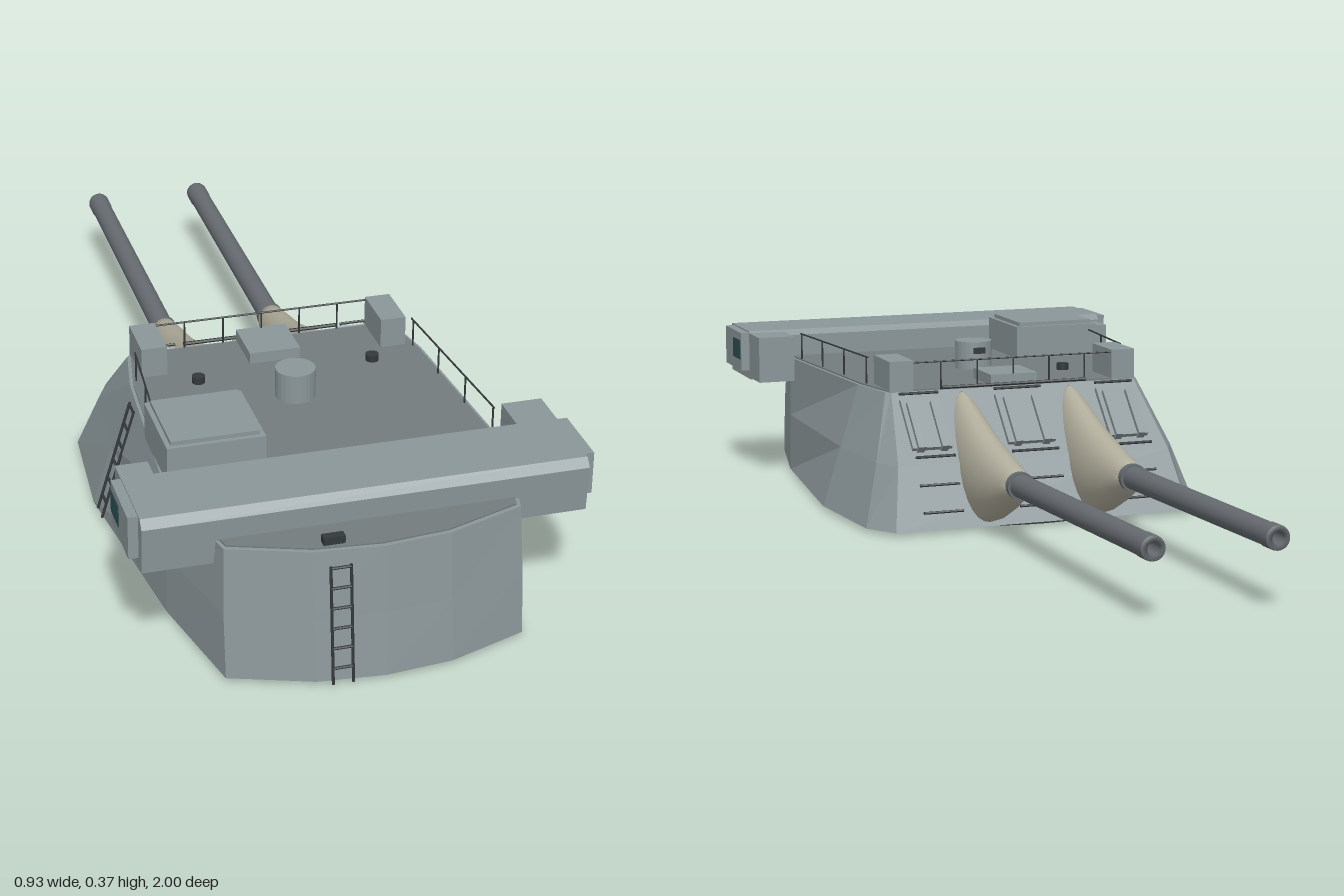
import * as THREE from 'three';

const paint = (color, flat = true, side = THREE.FrontSide) =>
  new THREE.MeshStandardMaterial({ color, flatShading: flat, side });

// Closed skin through equal-length rings, capped at both ends
function loft(rings) {
  const n = rings[0].length, pos = rings.flat(2), idx = [];
  for (let i = 0; i < rings.length - 1; i++)
    for (let j = 0; j < n; j++) {
      const a = i * n + j, b = i * n + (j + 1) % n;
      idx.push(a, b, b + n, a, b + n, a + n);
    }
  const last = (rings.length - 1) * n;
  for (let j = 1; j < n - 1; j++) idx.push(0, j + 1, j, last, last + j, last + j + 1);
  const g = new THREE.BufferGeometry();
  g.setAttribute('position', new THREE.Float32BufferAttribute(pos, 3));
  g.setIndex(idx);
  g.computeVertexNormals();
  return g;
}

// Mirrors a half outline of [x, z] into a full ring at height y
function outline(half, y) {
  const other = half.slice(1).reverse().map(([x, z]) => [-x, z]);
  return [...half, ...other].map(([x, z]) => [x, y, z]);
}

export function createModel() {
  const model = new THREE.Group();
  const armour = paint(0x8b9699), roofPaint = paint(0x747c7e), dark = paint(0x33383a);
  const steel = paint(0x666b70, false, THREE.DoubleSide);
  const canvas = paint(0xb0ad9c, false), glass = paint(0x2c5052), base = paint(0x333436);

  const add = (name, geo, mat, x = 0, y = 0, z = 0, parent = model) => {
    const m = new THREE.Mesh(geo, mat);
    m.name = name;
    m.position.set(x, y, z);
    parent.add(m);
    return m;
  };
  // Box given by its extents
  const box = (name, mat, [x0, x1], [y0, y1], [z0, z1], parent = model) =>
    add(name, new THREE.BoxGeometry(x1 - x0, y1 - y0, z1 - z0), mat,
      (x0 + x1) / 2, (y0 + y1) / 2, (z0 + z1) / 2, parent);
  // Thin round bar between two points
  const bar = (name, a, b, r = 0.0025, mat = dark, parent = model) => {
    const p = new THREE.Vector3(...a), q = new THREE.Vector3(...b);
    const m = add(name, new THREE.CylinderGeometry(r, r, p.distanceTo(q), 6), mat, 0, 0, 0, parent);
    m.position.copy(p).add(q).multiplyScalar(0.5);
    m.quaternion.setFromUnitVectors(new THREE.Vector3(0, 1, 0), q.sub(p).normalize());
    return m;
  };

  // Armoured hull
  const bottom = [[0, 0.985], [0.137, 0.972], [0.3, 0.915], [0.355, 0.66], [0.405, 0.21], [0.385, -0.05], [0.34, -0.12]];
  const middle = [[0, 0.968], [0.137, 0.956], [0.3, 0.9], [0.353, 0.66], [0.363, 0.21], [0.345, 0], [0.315, -0.06]];
  const top = [[0, 0.953], [0.137, 0.94], [0.295, 0.885], [0.35, 0.66], [0.32, 0.21], [0.297, 0.085], [0.287, 0.073]];
  add('hull', loft([outline(bottom, 0.008), outline(middle, 0.14), outline(top, 0.278)]), armour);
  const inset = top.map(([x, z]) => [x * 0.98, 0.5 + (z - 0.5) * 0.98]);
  add('roof', loft([outline(inset, 0.27), outline(inset, 0.281)]), roofPaint);
  add('baseRing', new THREE.CylinderGeometry(0.37, 0.37, 0.012, 64), base, 0, 0.006, 0.27);

  // Rangefinder housing across the roof
  const profile = new THREE.Shape([[0.67, 0.228], [0.85, 0.228], [0.857, 0.325], [0.842, 0.342], [0.685, 0.342], [0.67, 0.33]]
    .map(p => new THREE.Vector2(...p)));
  const housing = new THREE.ExtrudeGeometry(profile, { depth: 0.89, bevelEnabled: false });
  housing.translate(0, 0, -0.445).rotateY(-Math.PI / 2);
  add('rangefinderHousing', housing, armour);
  for (const s of [-1, 1]) {
    add('rangefinderEnd', new THREE.BoxGeometry(0.03, 0.09, 0.145), armour, s * 0.45, 0.294, 0.755);
    add('rangefinderWindow', new THREE.BoxGeometry(0.008, 0.046, 0.064), glass, s * 0.463, 0.298, 0.72);
  }
  box('leftSightBox', armour, [0.36, 0.445], [0.232, 0.338], [0.592, 0.68]);
  box('rightSightBox', armour, [-0.44, -0.375], [0.25, 0.325], [0.608, 0.68]);

  // Roof fittings
  box('hatchBox', armour, [-0.34, -0.14], [0.275, 0.356], [0.432, 0.625]);
  box('hatchLid', armour, [-0.33, -0.15], [0.35, 0.365], [0.442, 0.615]);
  add('periscope', new THREE.CylinderGeometry(0.042, 0.042, 0.065, 24), armour, 0, 0.312, 0.345);
  box('periscopeSlit', dark, [-0.014, 0.014], [0.318, 0.332], [0.301, 0.31]);
  box('centreSightHood', armour, [-0.055, 0.055], [0.275, 0.305], [0.075, 0.19]);
  for (const s of [-1, 1])
    add('sideSightHood', new THREE.BoxGeometry(0.055, 0.07, 0.115), armour, s * 0.262, 0.311, 0.133);
  box('rearVent', dark, [-0.113, -0.07], [0.275, 0.297], [0.91, 0.928]);
  for (const x of [-0.18, 0.2])
    add('roofMushroomVent', new THREE.CylinderGeometry(0.014, 0.014, 0.016, 12), dark, x, 0.288, 0.24);

  // Guard rails
  for (const s of [-1, 1]) {
    bar('sideRail', [s * 0.303, 0.341, 0.19], [s * 0.338, 0.341, 0.61], 0.002);
    for (let i = 0; i < 4; i++) {
      const x = s * (0.304 + i * 0.0112), z = 0.2 + i * 0.135;
      bar('railPost', [x, 0.278, z], [x, 0.341, z], 0.002);
    }
  }
  bar('frontRail', [-0.235, 0.341, 0.08], [0.235, 0.341, 0.08], 0.002);
  for (const x of [-0.17, -0.085, 0, 0.085, 0.17]) bar('railPost', [x, 0.278, 0.08], [x, 0.341, 0.08], 0.002);

  // Ladders: foot, head and half-width direction
  const ladder = (name, foot, head, half, rungs) => {
    const g = new THREE.Group();
    g.name = name;
    model.add(g);
    const shift = (p, s) => p.map((v, i) => v + s * half[i]);
    for (const s of [-1, 1]) bar('ladderRail', shift(foot, s), shift(head, s), 0.003, dark, g);
    for (let i = 0; i < rungs; i++) {
      const p = foot.map((v, k) => v + (head[k] - v) * (i + 0.8) / (rungs - 0.1));
      bar('ladderRung', shift(p, -1), shift(p, 1), 0.003, dark, g);
    }
  };
  ladder('rearLadder', [-0.09, 0.012, 0.994], [-0.09, 0.258, 0.966], [0.02, 0, 0], 6);
  ladder('sideLadder', [-0.406, 0.022, 0.28], [-0.332, 0.265, 0.28], [0, 0, 0.02], 6);

  // Sloped front plate fittings, laid out along the slope
  const slope = new THREE.Group();
  slope.name = 'frontPlateFittings';
  slope.position.set(0, 0.21, 0.007);
  slope.rotation.x = Math.atan2(0.133, 0.138);
  model.add(slope);
  for (const [x, w] of [[0, 0.11], [-0.23, 0.09], [0.23, 0.09]]) {
    box('raisedPlate', armour, [x - w / 2, x + w / 2], [-0.06, 0.07], [-0.01, 0.01], slope);
    for (const s of [-1, 1])
      box('plateRib', armour, [x + s * w * 0.3 - 0.008, x + s * w * 0.3 + 0.008], [-0.065, 0.055], [-0.02, 0], slope);
    for (const y of [-0.085, 0.082])
      bar('grabBar', [x - w / 2, y, -0.012], [x + w / 2, y, -0.012], 0.003, dark, slope);
    for (const [y, z] of [[0.045, -0.112], [0.1, -0.087]])
      bar('grabBar', [x - w / 2, y, z], [x + w / 2, y, z], 0.003);
  }
  bar('slopeTopBar', [-0.17, 0.284, 0.07], [0.17, 0.284, 0.07], 0.004);

  // Guns with canvas blast bags: z, top, bottom, half width
  const sections = [[-0.305, 0.158, 0.102, 0.028], [-0.27, 0.166, 0.083, 0.035], [-0.23, 0.176, 0.06, 0.041],
    [-0.17, 0.19, 0.032, 0.047], [-0.11, 0.207, 0.014, 0.05], [-0.05, 0.229, 0.014, 0.05],
    [0.01, 0.253, 0.03, 0.047], [0.045, 0.268, 0.08, 0.038], [0.06, 0.273, 0.14, 0.026], [0.068, 0.274, 0.2, 0.01]];
  const bag = loft(sections.map(([z, t, b, w]) => Array.from({ length: 24 }, (_, i) => {
    const a = i / 24 * Math.PI * 2;
    return [w * Math.cos(a), (t + b) / 2 + (t - b) / 2 * Math.sin(a), z];
  })));
  const tube = new THREE.LatheGeometry([[0.028, 0], [0.028, 0.12], [0.025, 0.13], [0.0235, 0.8], [0.025, 0.81],
    [0.025, 0.845], [0.024, 0.85], [0.013, 0.85], [0.012, 0.7], [0, 0.7]].map(p => new THREE.Vector2(...p)), 24);
  for (const s of [-1, 1]) {
    add('blastBag', bag, canvas, s * 0.127);
    const gun = add('gunBarrel', tube, steel, s * 0.127, 0.128, -0.15);
    gun.rotation.x = -Math.PI / 2 + 0.018;
    const collar = add('bagCollar', new THREE.CylinderGeometry(0.03, 0.03, 0.016, 24), steel, s * 0.127, 0.13, -0.302);
    collar.rotation.x = -Math.PI / 2;
  }
  return model;
}
